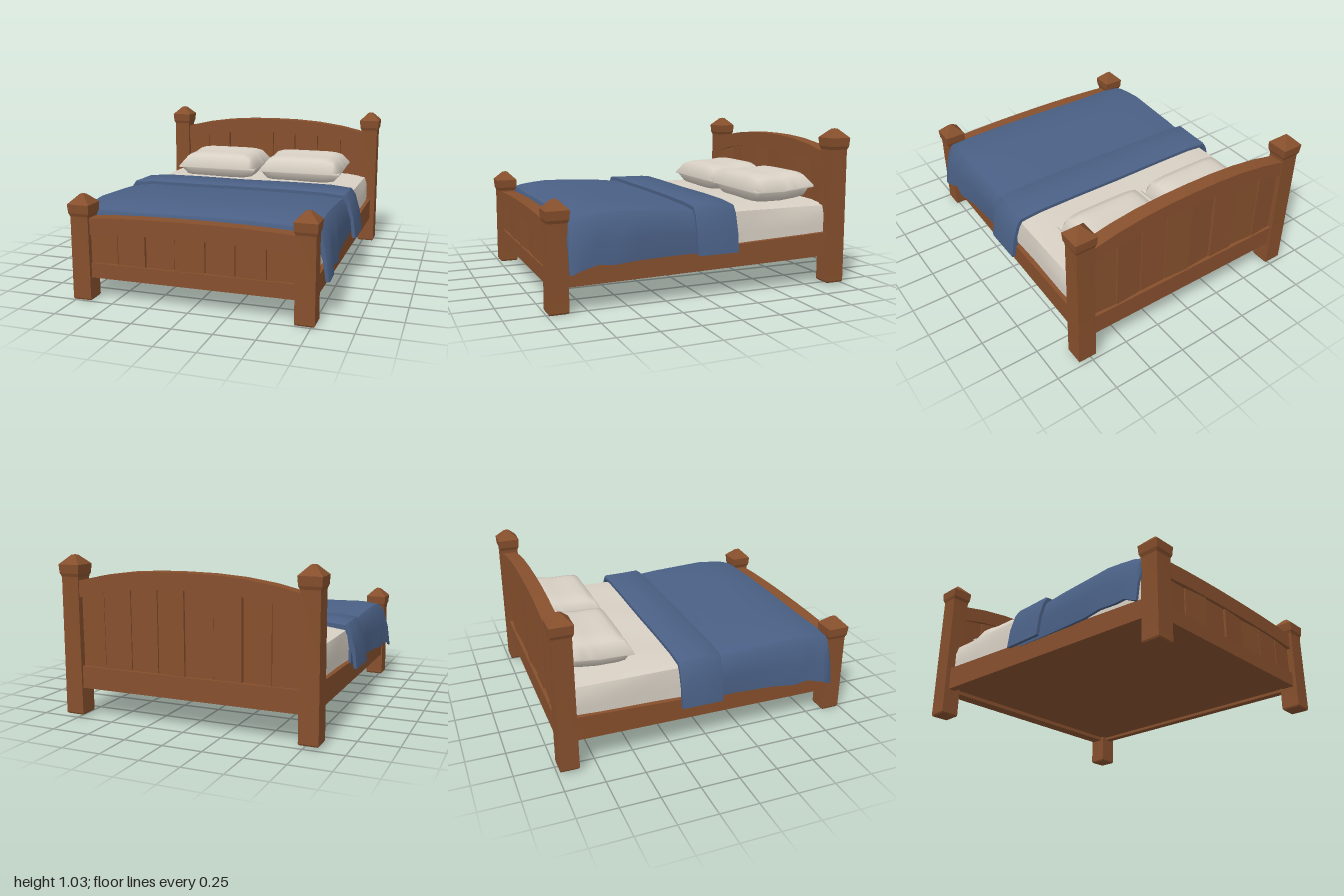
import * as THREE from 'three';
import { toCreasedNormals } from 'three/addons/utils/BufferGeometryUtils.js';

const mat = (name, color, side = THREE.FrontSide) => {
  const m = new THREE.MeshStandardMaterial({ color, side });
  m.name = name;
  return m;
};

export function createModel() {
  const bed = new THREE.Group();
  bed.name = 'bed';
  const wood = mat('brown wood', 0x87502d);
  const linen = mat('cream linen', 0xd8d0c4);
  const wool = mat('blue wool', 0x4a6085, THREE.DoubleSide);

  const add = (name, geometry, material, crease = 0.6) => {
    const mesh = new THREE.Mesh(toCreasedNormals(geometry, crease), material);
    mesh.name = name;
    bed.add(mesh);
    return mesh;
  };

  // Move every vertex of a geometry by a rule
  const bend = (geometry, rule) => {
    const p = geometry.attributes.position;
    const v = new THREE.Vector3();
    for (let i = 0; i < p.count; i++) {
      rule(v.fromBufferAttribute(p, i));
      p.setXYZ(i, v.x, v.y, v.z);
    }
    return geometry;
  };

  // Box given by its limits on each axis
  const box = (x0, x1, y0, y1, z0, z1, sx = 1, sy = 1, sz = 1) =>
    new THREE.BoxGeometry(x1 - x0, y1 - y0, z1 - z0, sx, sy, sz)
      .translate((x0 + x1) / 2, (y0 + y1) / 2, (z0 + z1) / 2);

  // Square post with a flared, pointed cap
  const post = (name, x, z, bottom, top) => {
    const profile = [
      [0, bottom], [0.056, bottom], [0.061, bottom + 0.01], [0.059, top - 0.15], [0.06, top - 0.135],
      [0.068, top - 0.115], [0.072, top - 0.06], [0.015, top - 0.003], [0, top],
    ].map(([half, y]) => new THREE.Vector2(half * Math.SQRT2, y));
    const g = new THREE.LatheGeometry(profile, 4).rotateY(Math.PI / 4).translate(x, 0, z);
    add(name, g, wood, 0.3);
  };
  for (const s of [-1, 1]) {
    const side = s > 0 ? 'left' : 'right';
    post(side + 'HeadPost', s * 0.78, -0.925, 0.015, 1.03);
    post(side + 'FootPost', s * 0.71, 0.928, 0, 0.67);
  }

  // Arched top rail, planks and lower rail of a bed end
  const bedEnd = (name, o) => {
    const arch = (x) => o.rise * (1 - Math.min(1, Math.abs(x / o.half)) ** 2.4);
    add(name + 'TopRail', bend(
      box(-o.half, o.half, o.railY, o.railY + 0.105, o.z - 0.046, o.z + 0.046, 8),
      (v) => { v.y += arch(v.x); }), wood);
    add(name + 'LowerRail', box(-o.half, o.half, o.low, o.lowTop, o.z - 0.042, o.z + 0.042), wood);
    const w = (2 * o.half) / o.planks;
    for (let i = 0; i < o.planks; i++) {
      const x = -o.half + (i + 0.5) * w;
      const lean = ((i * 5) % 3 - 1) * 0.006;
      const g = bend(
        box(x - w / 2 + 0.003, x + w / 2 - 0.003, o.lowTop - 0.02, o.railY + 0.03 + arch(x), o.z - 0.026, o.z + 0.026),
        (v) => { v.z += lean * (v.x > x ? 1 : -1) + (i % 2) * 0.005; });
      add(name + 'Plank', g, wood);
    }
  };
  bedEnd('headboard', { half: 0.735, z: -0.93, railY: 0.765, rise: 0.082, low: 0.19, lowTop: 0.33, planks: 8 });
  bedEnd('footboard', { half: 0.665, z: 0.923, railY: 0.42, rise: 0.02, low: 0.145, lowTop: 0.24, planks: 7 });

  // Side rails and base sink and narrow slightly toward the foot
  const towardFoot = (z) => (z + 0.88) / 1.76;
  for (const s of [-1, 1]) {
    const g = bend(box(-0.025, 0.025, 0, 1, -0.88, 0.88), (v) => {
      const t = towardFoot(v.z);
      const low = 0.195 - 0.04 * t, high = 0.352 - 0.08 * t;
      v.y = low + (high - low) * v.y;
      v.x += s * (0.782 - 0.045 * t);
    });
    add(s > 0 ? 'leftSideRail' : 'rightSideRail', g, wood);
  }
  add('base', bend(box(-0.77, 0.77, 0.215, 0.25, -0.9, 0.9), (v) => {
    const t = towardFoot(v.z);
    v.y -= 0.04 * t;
    v.x *= 1 - 0.055 * t;
  }), wood);

  // Mattress with softened upper edges
  add('mattress', bend(box(-0.77, 0.77, 0.24, 0.545, -0.88, 0.86, 10, 4, 10), (v) => {
    const edge = Math.abs(v.x) > 0.76;
    const t = towardFoot(v.z);
    if (v.y > 0.54) v.y -= edge ? 0.02 : 0.004 + 0.004 * Math.sin(9 * v.x + 7 * v.z);
    if (edge) v.x += Math.sign(v.x) * (v.y > 0.5 ? -0.012 : 0.008 * Math.sin(6 * v.z));
    v.x *= 1 - 0.04 * t * t;
  }), linen, 0.8);

  // Plump pillows, a little higher at the head end
  for (const s of [-1, 1]) {
    const g = bend(new THREE.BoxGeometry(2, 2, 2, 12, 2, 10), (v) => {
      const puff = Math.sqrt(Math.max(0, (1 - v.x ** 6) * (1 - v.z ** 6)));
      const tilt = v.z < 0 ? -0.025 * v.z : 0;
      v.y = 0.61 + tilt + (v.y > 0.5 ? 0.1 * puff + 0.006 : v.y < -0.5 ? -0.075 * puff - 0.006 : 0);
      v.x = s * 0.325 + v.x * (0.308 - 0.008 * (1 - v.z * v.z));
      v.z = -0.658 + v.z * 0.222;
    });
    add(s > 0 ? 'leftPillow' : 'rightPillow', g, linen, 1.0);
  }

  // Draped cloth with thickness; stations are [z, topY, edgeX, hemX, hemY]
  const drape = (name, stations, thick, ripple) => {
    const n = 13;
    const pos = [], index = [];
    for (const [z, top, edge, hem, hemY] of stations) {
      const half = [
        [hem, hemY, 1, 0], [(hem + edge) / 2 + 0.008, (hemY + top) / 2 - 0.02, 1, 0],
        [edge, top - 0.06, 1, 0.3], [edge - 0.03, top - 0.015, 0.6, 1],
        [0.62, top - 0.002, 0, 1], [0.35, top, 0, 1],
      ];
      const outer = [
        ...half.map(([x, y, a, b]) => [-x, y, a, -b]),
        [0, top, 0, -1],
        ...half.slice().reverse().map(([x, y, a, b]) => [x, y, -a, -b]),
      ];
      outer.forEach((p, i) => { if (i > 3 && i < 9) p[1] += ripple * Math.sin(i * 2.1 + z * 8); });
      outer.forEach(([x, y]) => pos.push(x, y, z));
      outer.reverse().forEach(([x, y, a, b]) => pos.push(x + a * thick, y + b * thick, z));
    }
    const ring = 2 * n;
    const quad = (a, b, c, d) => index.push(a, b, c, a, c, d);
    for (let k = 0; k < stations.length - 1; k++) {
      for (let i = 0; i < ring; i++) {
        const j = (i + 1) % ring, a = k * ring, b = a + ring;
        quad(a + i, b + i, b + j, a + j);
      }
    }
    const last = (stations.length - 1) * ring;
    for (let i = 0; i < n - 1; i++) {
      quad(i, i + 1, ring - 2 - i, ring - 1 - i);
      quad(last + i, last + ring - 1 - i, last + ring - 2 - i, last + i + 1);
    }
    const g = new THREE.BufferGeometry();
    g.setAttribute('position', new THREE.Float32BufferAttribute(pos, 3));
    g.setIndex(index);
    add(name, g, wool, 0.7);
  };
  drape('blanket', [
    [-0.15, 0.56, 0.78, 0.79, 0.295], [0.06, 0.565, 0.78, 0.79, 0.29], [0.2, 0.58, 0.78, 0.79, 0.29],
    [0.45, 0.592, 0.782, 0.8, 0.285], [0.6, 0.598, 0.785, 0.828, 0.28], [0.7, 0.59, 0.782, 0.81, 0.285],
    [0.8, 0.577, 0.78, 0.838, 0.268], [0.862, 0.56, 0.775, 0.828, 0.24], [0.875, 0.52, 0.77, 0.822, 0.24],
  ], 0.018, 0.004);
  drape('foldedBlanketBand', [
    [-0.2, 0.583, 0.795, 0.845, 0.288], [-0.19, 0.59, 0.797, 0.845, 0.285], [-0.06, 0.592, 0.797, 0.845, 0.285],
    [0.065, 0.597, 0.797, 0.845, 0.285], [0.076, 0.59, 0.795, 0.843, 0.29],
  ], 0.022, 0.002);

  return bed;
}
